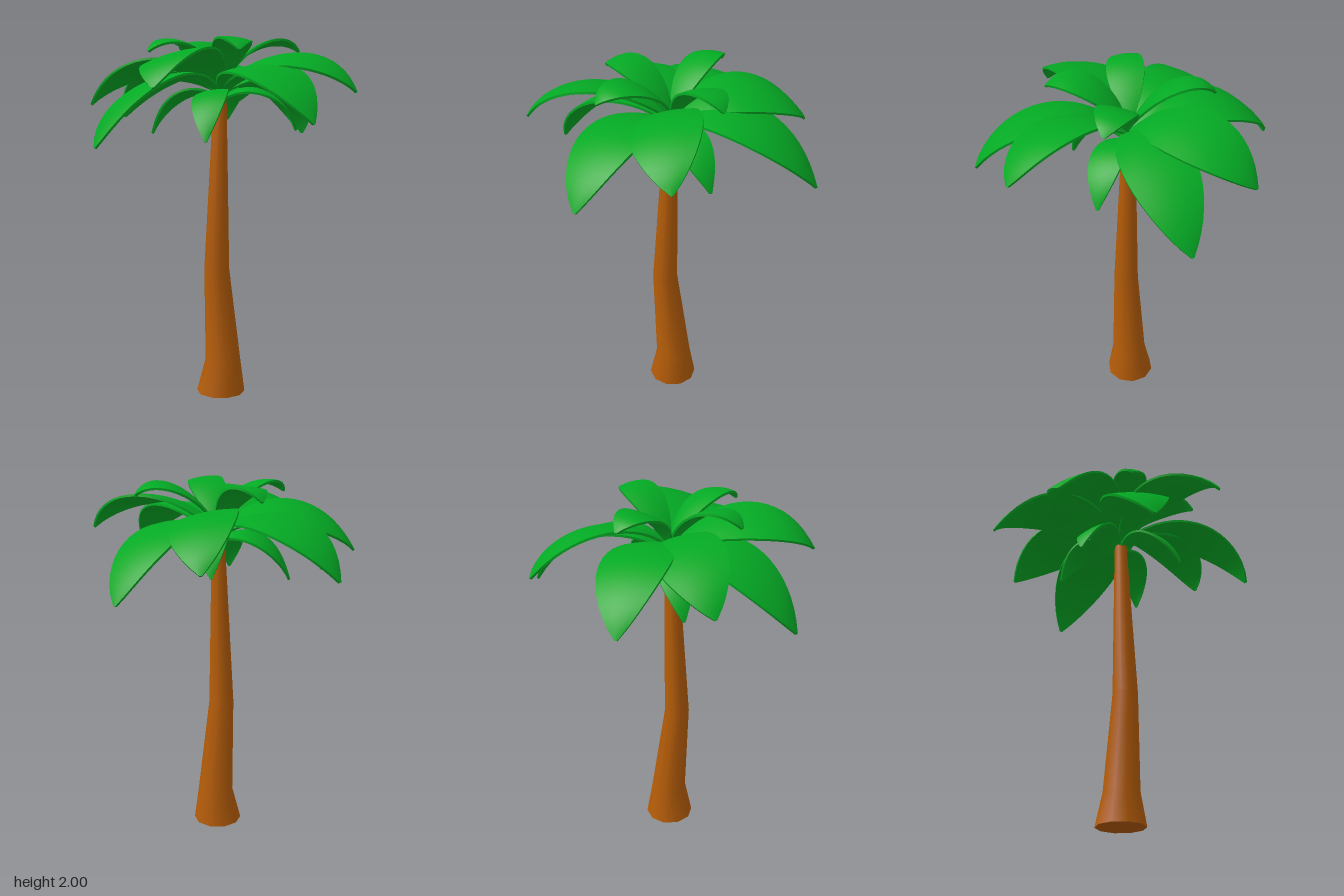
import * as THREE from 'three';
import { toCreasedNormals } from 'three/addons/utils/BufferGeometryUtils.js';

const bark = new THREE.MeshStandardMaterial({ color: 0xb45c08 });
const green = new THREE.MeshStandardMaterial({ color: 0x04a924 });
const UP = new THREE.Vector3(0, 1, 0);

// Skin closed rings of points into a capped solid
function loft(rings, crease) {
  const n = rings[0].length, last = (rings.length - 1) * n;
  const pos = rings.flat().flatMap((p) => [p.x, p.y, p.z]);
  const index = [];
  for (let i = 0; i < rings.length - 1; i++) {
    for (let j = 0; j < n; j++) {
      const a = i * n + j, b = i * n + (j + 1) % n;
      index.push(a, b, b + n, a, b + n, a + n);
    }
  }
  for (let j = 1; j < n - 1; j++) {
    index.push(0, j + 1, j, last, last + j, last + j + 1);
  }
  const geo = new THREE.BufferGeometry();
  geo.setAttribute('position', new THREE.Float32BufferAttribute(pos, 3));
  geo.setIndex(index);
  return toCreasedNormals(geo, crease);
}

// Bent, tapering trunk with a flared foot: [centre x, y, centre z, radius]
function createTrunk() {
  const sides = 10;
  const stations = [
    [-0.027, 0, 0.012, 0.137],
    [-0.02, 0.19, 0.022, 0.1],
    [-0.069, 0.73, 0.016, 0.07],
    [-0.032, 1.71, 0.012, 0.035],
  ];
  const rings = stations.map(([x, y, z, r]) => Array.from({ length: sides }, (_, j) => {
    const a = (j / sides) * Math.PI * 2;
    return new THREE.Vector3(x + r * Math.sin(a), y, z + r * Math.cos(a));
  }));
  const trunk = new THREE.Mesh(loft(rings, 0.9), bark);
  trunk.name = 'trunk';
  return trunk;
}

// Drooping frond: lens-shaped blade swept along an arching curve
function createFrond(tier, [tx, ty, tz]) {
  const base = new THREE.Vector3(-0.025, tier.base, 0.012);
  const tip = new THREE.Vector3(tx, ty, tz);
  const out = tip.clone().sub(base).setY(0);
  const right = out.clone().normalize().cross(UP);
  const control = (f, y) => base.clone().addScaledVector(out, f)
    .addScaledVector(right, tier.bow).setY(y);
  const curve = new THREE.CubicBezierCurve3(
    base, control(0.3, tier.rise), control(0.82, ty + tier.droop), tip);

  const steps = 18, across = 6, thick = 0.012;
  const rings = [];
  for (let i = 0; i <= steps; i++) {
    const t = i / steps;
    const p = curve.getPoint(t), dir = curve.getTangent(t);
    const side = UP.clone().cross(dir).normalize().applyAxisAngle(dir, tier.roll);
    const normal = dir.clone().cross(side);
    const half = Math.max(0.006, 0.5 * tier.width * Math.sin(Math.PI * t) ** 0.8);
    const at = (u, lift) => p.clone().addScaledVector(side, u * half)
      .addScaledVector(normal, 0.1 * half * (1 - u * u) + lift);
    const ring = [];
    for (let k = 0; k <= across; k++) ring.push(at(1 - 2 * k / across, thick / 2));
    for (let k = 0; k <= across; k++) ring.push(at(-1 + 2 * k / across, -thick / 2));
    rings.push(ring);
  }
  return new THREE.Mesh(loft(rings, 0.8), green);
}

export function createModel() {
  const model = new THREE.Group();
  model.name = 'palmTree';
  model.add(createTrunk());

  // Four tiers of four fronds, each listed by its tip position
  const tiers = [
    {
      name: 'hangingFrond', base: 1.66, rise: 1.78, droop: 0.22, bow: 0.02, roll: 0.15, width: 0.19,
      tips: [[0.26, 1.5, 0.32], [-0.38, 1.46, 0.19], [-0.19, 1.48, -0.35], [0.31, 1.55, -0.2]],
    },
    {
      name: 'lowerFrond', base: 1.7, rise: 1.92, droop: 0.28, bow: 0.03, roll: 0.1, width: 0.36,
      tips: [[0.03, 1.56, -0.78], [-0.74, 1.43, -0.24], [-0.28, 1.56, 0.77], [0.75, 1.46, 0.05]],
    },
    {
      name: 'upperFrond', base: 1.72, rise: 1.95, droop: 0.21, bow: 0.04, roll: 0.22, width: 0.36,
      tips: [[-0.4, 1.64, -0.62], [-0.76, 1.73, 0.18], [0.18, 1.71, 0.74], [0.61, 1.64, -0.37]],
    },
    {
      name: 'crownFrond', base: 1.74, rise: 1.98, droop: 0.11, bow: -0.01, roll: -0.12, width: 0.2,
      tips: [[0.14, 1.93, -0.39], [-0.43, 1.92, -0.15], [-0.31, 1.92, 0.35], [0.31, 1.93, 0.3]],
    },
  ];
  for (const tier of tiers) {
    tier.tips.forEach((tip, i) => {
      const frond = createFrond(tier, tip);
      frond.name = `${tier.name}${i + 1}`;
      model.add(frond);
    });
  }
  return model;
}
